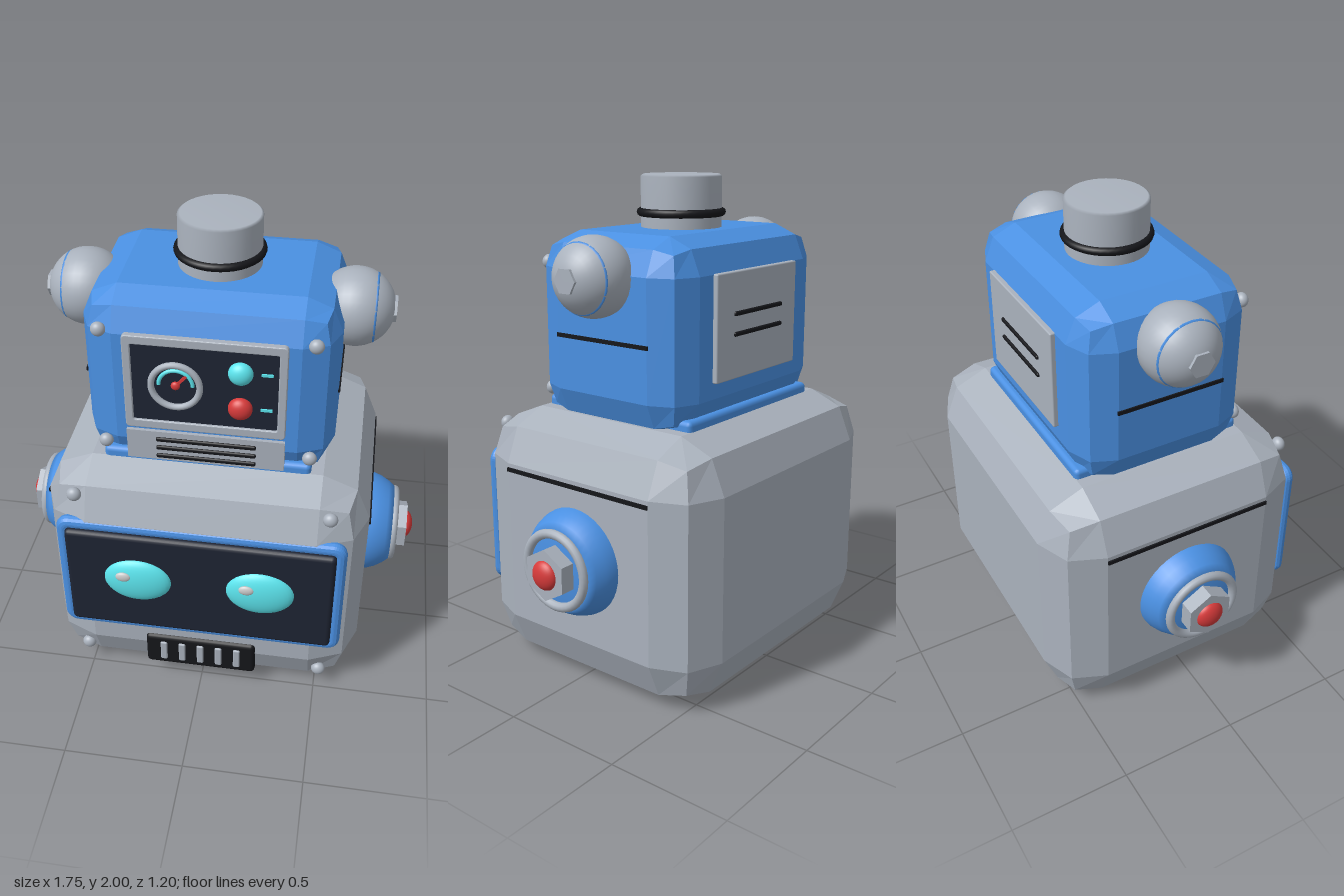
import * as THREE from 'three';
import { RoundedBoxGeometry } from 'three/addons/geometries/RoundedBoxGeometry.js';

const ZC = -0.035; // depth centre of head and torso
const mat = (color, flatShading = false) => new THREE.MeshStandardMaterial({ color, flatShading });
const M = {
  grey: mat(0xaab2bd), greyFlat: mat(0xaab2bd, true),
  blue: mat(0x4a90e2), blueFlat: mat(0x4a90e2, true),
  dark: mat(0x1e2433), black: mat(0x15161a),
  cyan: mat(0x5ce5ee), red: mat(0xd63a3a), white: mat(0xeeeeee),
};

export function createModel() {
  const model = new THREE.Group();
  model.name = 'robot';

  const add = (name, geometry, material, x, y, z, parent = model) => {
    const mesh = new THREE.Mesh(geometry, material);
    mesh.name = name;
    mesh.position.set(x, y, z);
    parent.add(mesh);
    return mesh;
  };
  const group = (name) => {
    const g = new THREE.Group();
    g.name = name;
    model.add(g);
    return g;
  };
  const box = (name, w, h, d, m, x, y, z, parent) =>
    add(name, new THREE.BoxGeometry(w, h, d), m, x, y, z, parent);
  const rbox = (name, w, h, d, r, m, x, y, z, parent, seg = 2) =>
    add(name, new RoundedBoxGeometry(w, h, d, seg, r), m, x, y, z, parent);
  const ball = (name, rx, ry, rz, m, x, y, z, parent) => {
    const b = add(name, new THREE.SphereGeometry(1, 32, 20), m, x, y, z, parent);
    b.scale.set(rx, ry, rz);
    return b;
  };
  const roundedRect = (path, w, h, r) => {
    const x = w / 2, y = h / 2;
    path.absarc(x - r, y - r, r, 0, Math.PI / 2);
    path.absarc(r - x, y - r, r, Math.PI / 2, Math.PI);
    path.absarc(r - x, r - y, r, Math.PI, Math.PI * 1.5);
    path.absarc(x - r, r - y, r, Math.PI * 1.5, Math.PI * 2);
    path.closePath();
    return path;
  };
  const frame = (w, h, iw, ih, r, depth, bevel) => {
    const shape = roundedRect(new THREE.Shape(), w - 2 * bevel, h - 2 * bevel, r);
    shape.holes.push(roundedRect(new THREE.Path(), iw + 2 * bevel, ih + 2 * bevel, r));
    return new THREE.ExtrudeGeometry(shape, {
      depth, bevelEnabled: bevel > 0, bevelSize: bevel, bevelThickness: bevel, bevelSegments: 3, curveSegments: 4,
    });
  };

  // Main chamfered blocks
  rbox('head', 1.34, 1.07, 1.13, 0.2, M.greyFlat, 0, 0.535, ZC, model, 1);
  rbox('torso', 1, 0.76, 0.73, 0.14, M.blueFlat, 0, 1.41, ZC, model, 1);
  rbox('torsoSkirt', 0.84, 0.06, 0.735, 0.02, M.blue, 0, 1.08, ZC);

  // Face screen with its surround
  add('faceFrame', frame(1.19, 0.595, 1.08, 0.48, 0.03, 0.002, 0.025), M.blue, 0, 0.58, 0.51);
  rbox('faceScreen', 1.11, 0.51, 0.08, 0.02, M.dark, 0, 0.58, 0.52);
  for (const s of [-1, 1]) {
    const x = s * 0.255;
    ball('eye', 0.142, 0.11, 0.045, M.cyan, x, 0.605, 0.555);
    ball('eyeHighlight', 0.032, 0.023, 0.012, M.white, x - 0.053, 0.645, 0.592);
  }

  // Mouth grille
  const mouth = group('mouth');
  rbox('mouthPlate', 0.48, 0.17, 0.05, 0.02, M.black, 0, 0.17, 0.52, mouth);
  for (let i = -2; i <= 2; i++)
    rbox('mouthBar', 0.03, 0.105, 0.016, 0.007, M.grey, i * 0.08, 0.172, 0.545, mouth);

  // Corner bolts on head and torso
  for (const s of [-1, 1])
    for (const [x, y, z, r] of [[0.515, 0.98, 0.49, 0.03], [0.515, 0.11, 0.49, 0.03],
      [0.41, 1.66, 0.32, 0.029], [0.41, 1.14, 0.32, 0.029]])
      ball('bolt', r, r, r * 0.85, M.grey, s * x, y, z);

  // Chest instrument panel
  const panel = group('chestPanel');
  add('panelFrame', frame(0.63, 0.42, 0.565, 0.345, 0.012, 0.02, 0.005), M.grey, -0.003, 1.45, 0.325, panel);
  box('panelFace', 0.59, 0.37, 0.03, M.dark, -0.003, 1.45, 0.325, panel);
  add('gaugeRing', new THREE.TorusGeometry(0.095, 0.013, 12, 40), M.grey, -0.115, 1.45, 0.35, panel);
  add('gaugeScale', new THREE.TorusGeometry(0.066, 0.008, 8, 28, Math.PI), M.cyan, -0.115, 1.45, 0.342, panel);
  const needle = box('gaugeNeedle', 0.07, 0.011, 0.008, M.red, -0.095, 1.472, 0.346, panel);
  needle.rotation.z = 0.85;
  ball('gaugeHub', 0.018, 0.018, 0.012, M.red, -0.115, 1.45, 0.346, panel);
  [[1.53, M.cyan], [1.37, M.red]].forEach(([y, m]) => {
    ball('button', 0.048, 0.048, 0.035, m, 0.135, y, 0.345, panel);
    box('buttonMark', 0.045, 0.011, 0.008, M.cyan, 0.236, y, 0.342, panel);
  });

  // Vent plate under the panel
  const vent = group('chestVent');
  box('ventPlate', 0.63, 0.137, 0.05, M.grey, -0.003, 1.153, 0.32, vent);
  for (let i = -1; i <= 1; i++)
    rbox('ventSlot', 0.4, 0.02, 0.016, 0.007, M.black, 0, 1.146 + i * 0.04, 0.345, vent);

  // Back access plate
  const back = group('backPlate');
  rbox('plate', 0.55, 0.42, 0.03, 0.006, M.grey, 0, 1.443, -0.405, back);
  for (const y of [1.41, 1.49]) rbox('plateSlot', 0.33, 0.018, 0.016, 0.007, M.black, 0, y, -0.421, back);

  // Neck stub on top with a dark ring
  const profile = [[0, 2], [0.155, 2], [0.165, 1.992], [0.165, 1.76]].reverse();
  add('neck', new THREE.LatheGeometry(profile.map(([r, y]) => new THREE.Vector2(r, y)), 40), M.grey, 0, 0, ZC);
  const ring = add('neckRing', new THREE.TorusGeometry(0.165, 0.017, 10, 40), M.black, 0, 1.85, ZC);
  ring.rotation.x = Math.PI / 2;

  // Ears, shoulder balls and seams on both sides; local +y of each part points outward
  const earProfile = [[0.22, 0], [0.217, 0.03], [0.205, 0.065], [0.185, 0.1], [0.165, 0.125], [0, 0.13]];
  for (const s of [-1, 1]) {
    const side = s > 0 ? 'left' : 'right';
    const outward = (name, y) => {
      const g = group(side + name);
      g.position.set(0, y, ZC);
      g.rotation.z = -s * Math.PI / 2;
      return g;
    };

    const ear = outward('Ear', 0.54);
    add('earCup', new THREE.LatheGeometry(earProfile.map(([r, y]) => new THREE.Vector2(r, y)), 40),
      M.blue, 0, 0.655, 0, ear);
    add('earRing', new THREE.TorusGeometry(0.148, 0.019, 12, 40), M.grey, 0, 0.785, 0, ear).rotation.x = Math.PI / 2;
    add('earNut', new THREE.CylinderGeometry(0.105, 0.105, 0.09, 6), M.greyFlat, 0, 0.8, 0, ear).rotation.y = Math.PI / 6;
    ball('earButton', 0.06, 0.035, 0.06, M.red, 0, 0.84, 0, ear);

    const shoulder = outward('Shoulder', 1.64);
    ball('shoulderBall', 0.157, 0.157, 0.157, M.grey, 0, 0.535, 0, shoulder);
    add('shoulderBand', new THREE.TorusGeometry(0.13, 0.0085, 6, 24), M.blue, 0, 0.61, 0, shoulder).rotation.x = Math.PI / 2;
    add('shoulderNut', new THREE.CylinderGeometry(0.052, 0.052, 0.04, 6), M.greyFlat, 0, 0.675, 0, shoulder);

    box(side + 'HeadSeam', 0.02, 0.016, 0.73, M.black, s * 0.667, 0.845, ZC);
    box(side + 'TorsoSeam', 0.02, 0.016, 0.46, M.black, s * 0.496, 1.39, ZC);
  }

  return model;
}
